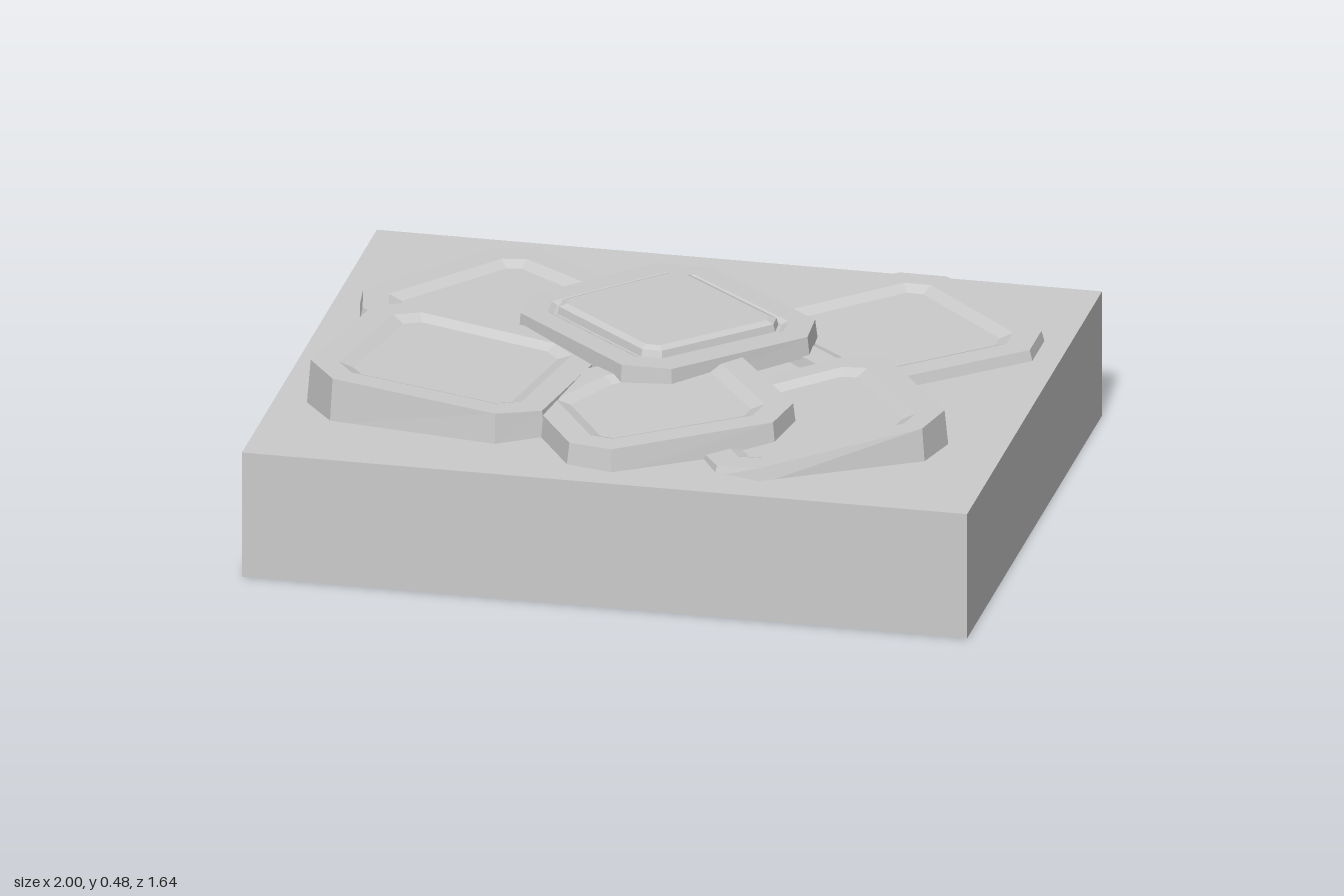
import * as THREE from 'three';

const BASE_TOP = 0.36;

// Move every edge of a convex outline [x, z] inward by d
function inset(points, d) {
  const n = points.length;
  const normal = (a, b) => {
    const dx = b[0] - a[0], dz = b[1] - a[1], l = Math.hypot(dx, dz);
    return [-dz / l, dx / l];
  };
  return points.map((p, i) => {
    const n1 = normal(points[(i + n - 1) % n], p);
    const n2 = normal(p, points[(i + 1) % n]);
    const k = d / (1 + n1[0] * n2[0] + n1[1] * n2[1]);
    return [p[0] + (n1[0] + n2[0]) * k, p[1] + (n1[1] + n2[1]) * k];
  });
}

// Tilted slab: walls up to a sloping rim, then steps of [inset, height above rim]
function tileGeometry({ outline, plane, bottom, steps }) {
  const [h, sx, sz] = plane;
  const rings = [outline.map(([x, z]) => [x, bottom, z])];
  for (const [d, dy] of steps) {
    rings.push(inset(outline, d).map(([x, z]) => [x, h + sx * x + sz * z + dy, z]));
  }
  const n = outline.length, pos = [];
  const tri = (...corners) => corners.forEach(c => pos.push(...c));
  for (let r = 0; r + 1 < rings.length; r++) {
    const a = rings[r], b = rings[r + 1];
    for (let i = 0; i < n; i++) {
      const j = (i + 1) % n;
      tri(a[i], b[i], a[j]);
      tri(a[j], b[i], b[j]);
    }
  }
  const top = rings[rings.length - 1], low = rings[0];
  for (let i = 1; i + 1 < n; i++) {
    tri(top[0], top[i + 1], top[i]);
    tri(low[0], low[i], low[i + 1]);
  }
  const g = new THREE.BufferGeometry();
  g.setAttribute('position', new THREE.Float32BufferAttribute(pos, 3));
  g.computeVertexNormals();
  return g;
}

export function createModel() {
  const group = new THREE.Group();
  const material = new THREE.MeshStandardMaterial({ color: 0xcccccc, flatShading: true });
  const add = (name, geometry) => {
    const mesh = new THREE.Mesh(geometry, material);
    mesh.name = name;
    group.add(mesh);
    return mesh;
  };

  // Rectangular base block
  add('base', new THREE.BoxGeometry(2, BASE_TOP, 1.64)).position.y = BASE_TOP / 2;

  // Petal tiles have a raised rim around a shallow dished panel
  const dished = [[0.01, 0], [0.08, 0], [0.115, -0.014]];
  // The middle tile carries a raised pad inside a narrow groove
  const padded = [[0.006, 0], [0.075, 0], [0.09, -0.008], [0.1, -0.008], [0.105, 0.012], [0.125, 0.02]];

  // plane: height at the origin, slope along x, slope along z
  const tiles = {
    backRightPetal: {
      outline: [[-0.93, -0.3], [-0.65, -0.67], [-0.52, -0.695], [-0.1, -0.4], [-0.08, -0.28],
        [-0.36, 0.1], [-0.5, 0.12], [-0.9, -0.16]],
      plane: [0.402, 0, 0.005], bottom: 0.35, steps: dished,
    },
    backLeftPetal: {
      outline: [[0.1, -0.42], [0.45, -0.77], [0.59, -0.77], [0.93, -0.44], [0.93, -0.29],
        [0.6, 0.01], [0.46, 0.01], [0.1, -0.3]],
      plane: [0.39, 0, 0], bottom: 0.35, steps: dished,
    },
    frontRightPetal: {
      outline: [[-0.84, -0.03], [-0.72, -0.12], [-0.27, -0.04], [-0.17, 0.07], [-0.23, 0.53],
        [-0.35, 0.61], [-0.82, 0.545], [-0.91, 0.43]],
      plane: [0.402, -0.08, 0.022], bottom: 0.35, steps: dished,
    },
    frontMiddlePetal: {
      outline: [[-0.2, 0.17], [0.06, -0.03], [0.19, 0], [0.42, 0.33], [0.395, 0.48],
        [0, 0.74], [-0.13, 0.71], [-0.32, 0.41]],
      plane: [0.43, 0.025, -0.01], bottom: 0.35, steps: dished,
    },
    frontLeftPetal: {
      outline: [[0.1, 0.12], [0.45, -0.1], [0.59, -0.07], [0.84, 0.34], [0.805, 0.475],
        [0.4, 0.715], [0.27, 0.68], [0.03, 0.27]],
      plane: [0.345, 0.14, -0.01], bottom: 0.35, steps: dished,
    },
    middleTile: {
      outline: [[-0.17, -0.56], [-0.02, -0.57], [0.34, -0.27], [0.35, -0.13], [0.05, 0.22],
        [-0.09, 0.23], [-0.44, -0.07], [-0.45, -0.21]],
      plane: [0.453, -0.028, 0.025], bottom: 0.385, steps: padded,
    },
  };
  for (const [name, tile] of Object.entries(tiles)) add(name, tileGeometry(tile));

  return group;
}
